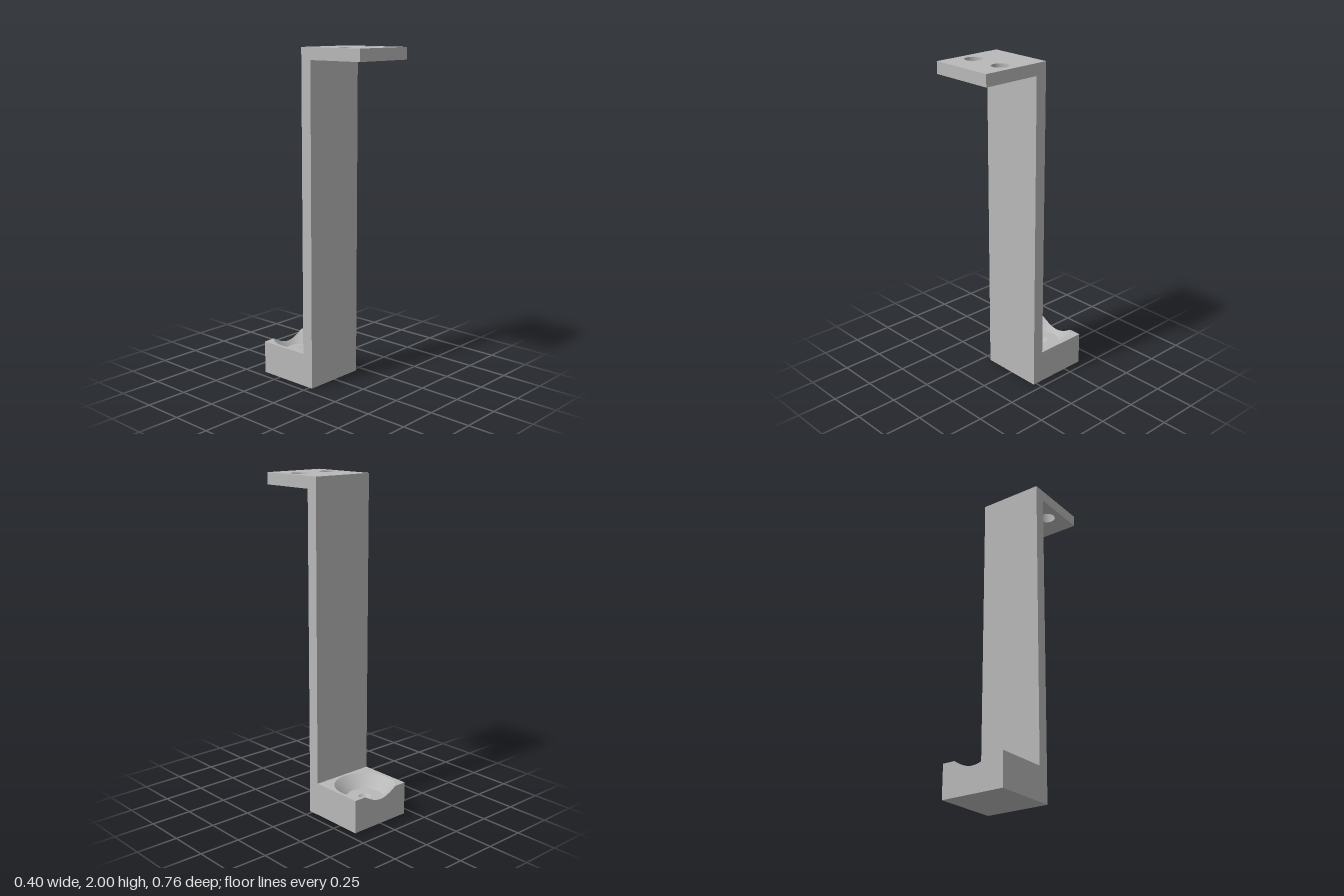
import * as THREE from 'three';
import { mergeGeometries } from 'three/addons/utils/BufferGeometryUtils.js';
import { ParametricGeometry } from 'three/addons/geometries/ParametricGeometry.js';

const W = 0.4, HALF = 0.2;            // bracket width
const FRONT = 0.38, BACK = -0.38;     // depth extents
const PLATE_FRONT = 0.02, PLATE_BACK = -0.05;
const BASE_H = 0.2, ARM_Y = 1.93, TOP = 2;
const CZ = -0.247, RIM = 0.18, FLOOR_R = 0.108, PIT_R = 0.037;
const FLOOR_Y = BASE_H - (RIM - FLOOR_R);   // 45 degree countersink
const CUT = CZ - BACK;                      // socket centre to back face
const CHORD = Math.sqrt(RIM * RIM - CUT * CUT);

export function createModel() {
  const grey = new THREE.MeshStandardMaterial({ color: 0xb8b8b8 });
  grey.name = 'grey';
  const model = new THREE.Group();
  model.name = 'bracket';
  const add = (name, geometry) => {
    const mesh = new THREE.Mesh(geometry, grey);
    mesh.name = name;
    model.add(mesh);
  };

  // Upright plate
  add('uprightPlate', new THREE.BoxGeometry(W, ARM_Y, PLATE_FRONT - PLATE_BACK)
    .translate(0, ARM_Y / 2, (PLATE_FRONT + PLATE_BACK) / 2));

  // Mounting arm with two screw holes (shape y becomes -z)
  const arm = new THREE.Shape();
  arm.moveTo(-HALF, -FRONT).lineTo(HALF, -FRONT).lineTo(HALF, -PLATE_BACK).lineTo(-HALF, -PLATE_BACK);
  arm.closePath();
  for (const x of [-0.108, 0.108]) {
    arm.holes.push(new THREE.Path().absarc(x, -0.2, 0.05, 0, Math.PI * 2, true));
  }
  add('mountingArm', new THREE.ExtrudeGeometry(arm, { depth: TOP - ARM_Y, bevelEnabled: false, curveSegments: 48 })
    .rotateX(-Math.PI / 2).translate(0, ARM_Y, 0));

  // Base top, cut by the socket rim, which runs out through the back
  const a0 = Math.atan2(CUT, CHORD);
  const top = new THREE.Shape();
  top.moveTo(-HALF, -PLATE_BACK).lineTo(HALF, -PLATE_BACK).lineTo(HALF, -BACK).lineTo(CHORD, -BACK);
  top.absarc(0, -CZ, RIM, a0, Math.PI - a0, true);
  top.lineTo(-HALF, -BACK);
  top.closePath();

  // Base back face, notched where the cone breaks through
  const back = new THREE.Shape();
  back.moveTo(-HALF, 0).lineTo(HALF, 0).lineTo(HALF, BASE_H);
  for (let i = 0; i <= 32; i++) {
    const x = CHORD * (1 - i / 16);
    back.lineTo(x, BASE_H - RIM + Math.hypot(x, CUT));
  }
  back.lineTo(-HALF, BASE_H);
  back.closePath();

  const depth = PLATE_BACK - BACK, midZ = (PLATE_BACK + BACK) / 2;
  const side = (s) => new THREE.PlaneGeometry(depth, BASE_H)
    .rotateY(s * Math.PI / 2).translate(s * HALF, BASE_H / 2, midZ);
  add('baseBlock', mergeGeometries([
    new THREE.ShapeGeometry(top, 96).rotateX(-Math.PI / 2).translate(0, BASE_H, 0),
    new THREE.ShapeGeometry(back).rotateY(Math.PI).translate(0, 0, BACK),
    new THREE.PlaneGeometry(W, depth).rotateX(Math.PI / 2).translate(0, 0, midZ),
    side(1), side(-1),
  ]));

  // Conical socket wall, trimmed at the back face
  add('socketWall', new ParametricGeometry((u, v, p) => {
    const a = u * Math.PI * 2, c = Math.cos(a);
    const outer = c > CUT / RIM ? CUT / c : RIM;
    const r = FLOOR_R + (outer - FLOOR_R) * v;
    p.set(r * Math.sin(a), BASE_H - RIM + r, CZ - r * c);
  }, 192, 4));

  // Socket floor and its central drill point
  const lathe = (r1, y1, r2, y2) => new THREE.LatheGeometry(
    [new THREE.Vector2(r1, y1), new THREE.Vector2(r2, y2)], 96).translate(0, 0, CZ);
  add('socketFloor', lathe(FLOOR_R, FLOOR_Y, PIT_R, FLOOR_Y));
  add('drillPoint', lathe(PIT_R, FLOOR_Y, 0, FLOOR_Y - PIT_R));

  return model;
}
